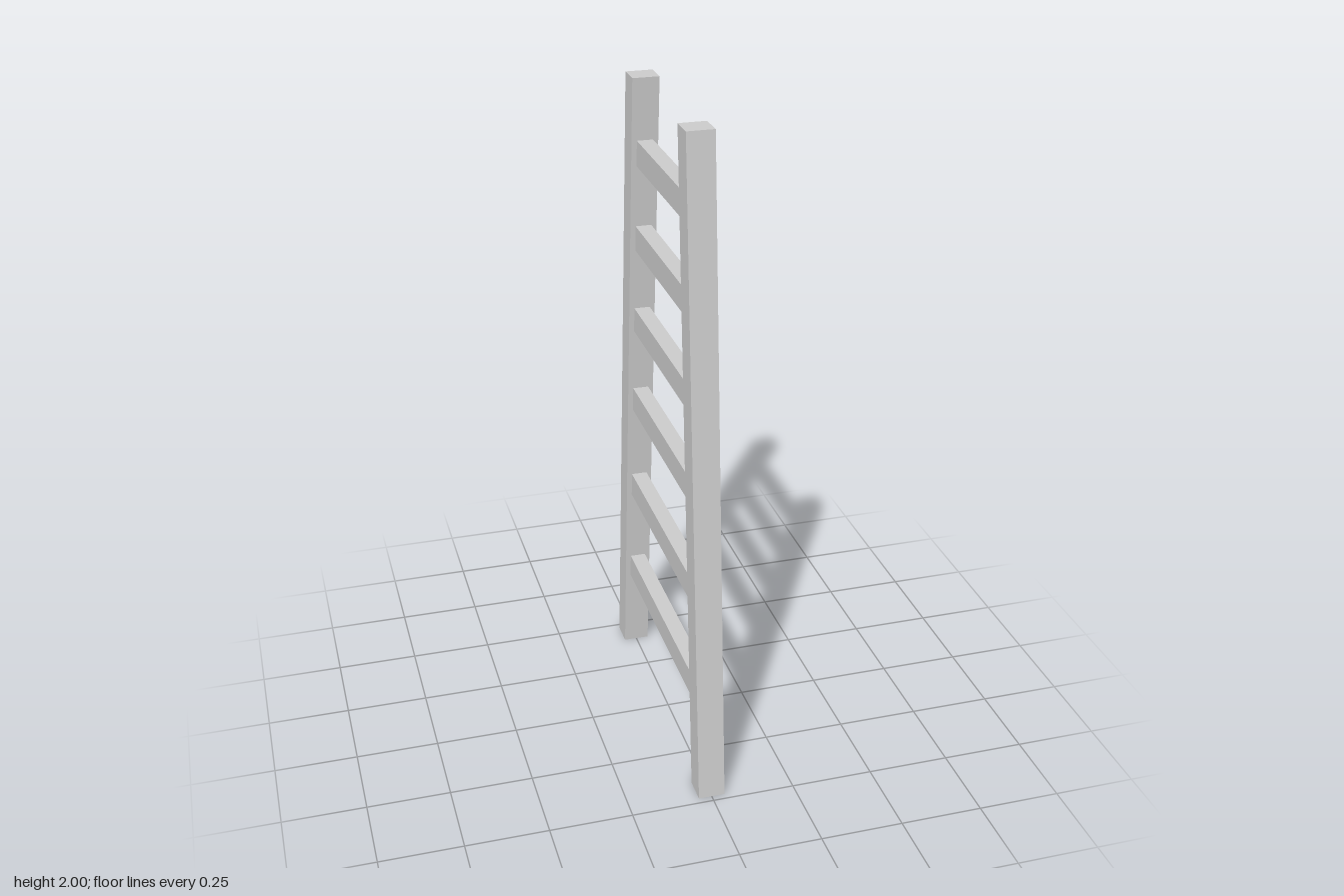
import * as THREE from 'three';

const material = new THREE.MeshStandardMaterial({ color: 0xcccccc, flatShading: true });

const HEIGHT = 2;
const RAIL_WIDTH = 0.08;
const RAIL_BOTTOM = { inner: 0.402, outer: 0.48 };
const RAIL_TOP = { inner: 0.23, outer: 0.307 };

// Inner face of a rail at height y
const innerZ = (y) => THREE.MathUtils.lerp(RAIL_BOTTOM.inner, RAIL_TOP.inner, y / HEIGHT);

// Leaning rail with level ends: a box whose corners follow the taper
function makeRail(side) {
  const geometry = new THREE.BoxGeometry(RAIL_WIDTH, HEIGHT, 1);
  geometry.translate(0, HEIGHT / 2, 0);
  const pos = geometry.attributes.position;
  for (let i = 0; i < pos.count; i++) {
    const end = pos.getY(i) > HEIGHT / 2 ? RAIL_TOP : RAIL_BOTTOM;
    const isOuter = pos.getZ(i) * side > 0;
    pos.setZ(i, side * (isOuter ? end.outer : end.inner));
  }
  geometry.computeVertexNormals();
  return new THREE.Mesh(geometry, material);
}

// Rung with slanted ends that meet the rails' inner faces
function makeRung(y) {
  const geometry = new THREE.BoxGeometry(0.048, 0.078, 1);
  geometry.translate(0, y, 0);
  const pos = geometry.attributes.position;
  for (let i = 0; i < pos.count; i++) {
    pos.setZ(i, Math.sign(pos.getZ(i)) * (innerZ(pos.getY(i)) + 0.002));
  }
  geometry.computeVertexNormals();
  return new THREE.Mesh(geometry, material);
}

export function createModel() {
  const ladder = new THREE.Group();
  ladder.name = 'ladder';

  // Side rails
  for (const [name, side] of [['frontRail', 1], ['backRail', -1]]) {
    const rail = makeRail(side);
    rail.name = name;
    ladder.add(rail);
  }

  // Rungs, bottom to top
  [0.311, 0.634, 0.953, 1.233, 1.505, 1.773].forEach((y, i) => {
    const rung = makeRung(y);
    rung.name = `rung${i + 1}`;
    ladder.add(rung);
  });

  return ladder;
}
